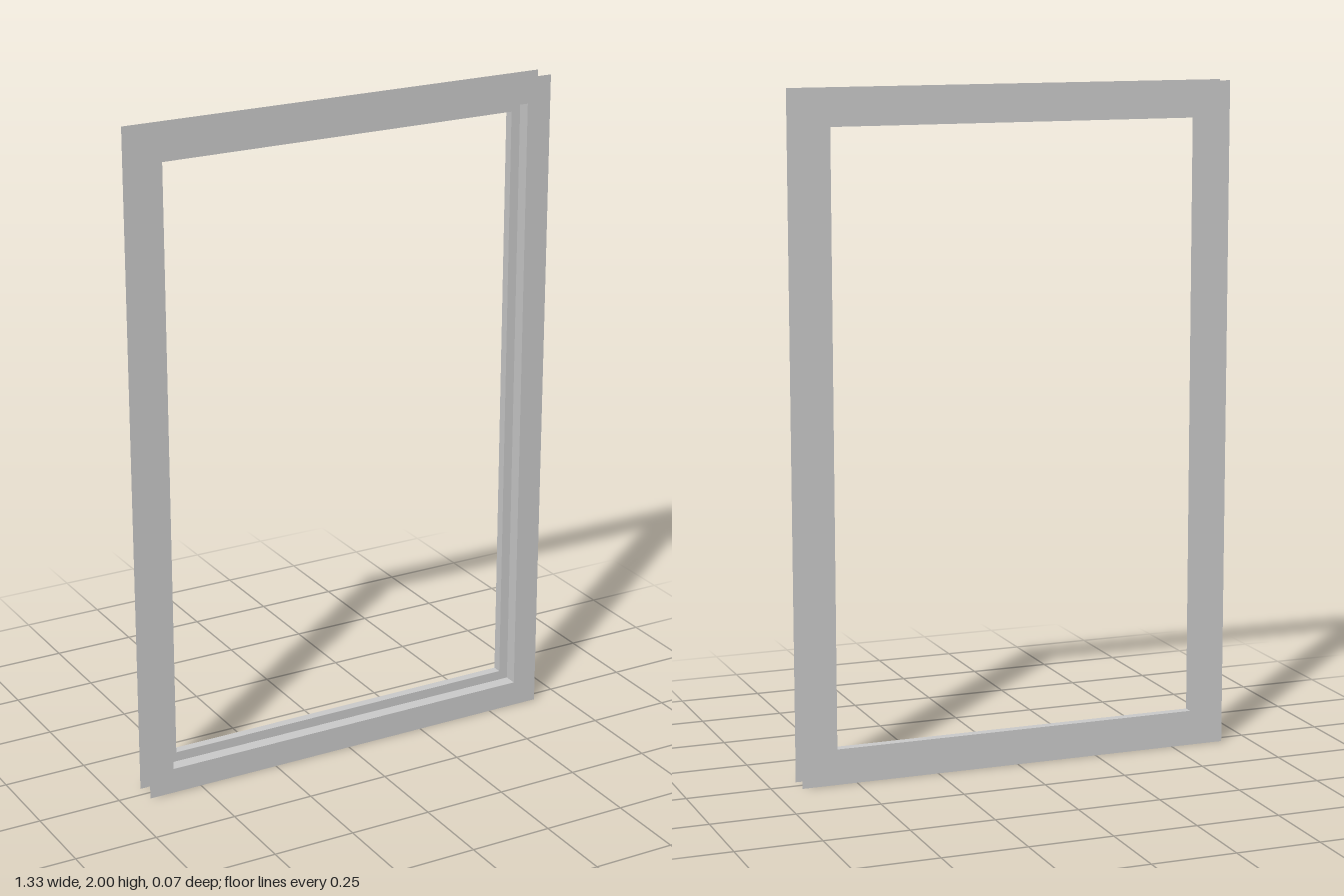
import * as THREE from 'three';

const WIDTH = 1.33, HEIGHT = 2;

// Rectangular loop inset from the outer outline, counter-clockwise from the front
function corners([inset, z]) {
  const x = WIDTH / 2 - inset, lo = inset, hi = HEIGHT - inset;
  return [[-x, lo, z], [x, lo, z], [x, hi, z], [-x, hi, z]];
}

// Four mitred flat strips joining two rectangular loops
function mitredStrip(from, to) {
  const a = corners(from), b = corners(to), positions = [];
  for (let i = 0; i < 4; i++) {
    const j = (i + 1) % 4;
    positions.push(...a[i], ...a[j], ...b[j], ...a[i], ...b[j], ...b[i]);
  }
  const geometry = new THREE.BufferGeometry();
  geometry.setAttribute('position', new THREE.Float32BufferAttribute(positions, 3));
  geometry.computeVertexNormals();
  return geometry;
}

export function createModel() {
  const model = new THREE.Group();
  model.name = 'rebatedFrame';
  const material = new THREE.MeshStandardMaterial({ color: 0xcccccc, side: THREE.DoubleSide });

  // Frame section as [inset, z]; the outer edge is left open
  const profile = [
    [0, 0.034], [0.077, 0.034], [0.077, -0.006],
    [0.106, -0.006], [0.106, -0.034], [0, -0.034],
  ];
  const names = ['frontFace', 'frontReveal', 'rebateStep', 'backReveal', 'backFace'];

  names.forEach((name, i) => {
    const mesh = new THREE.Mesh(mitredStrip(profile[i], profile[i + 1]), material);
    mesh.name = name;
    model.add(mesh);
  });
  return model;
}
